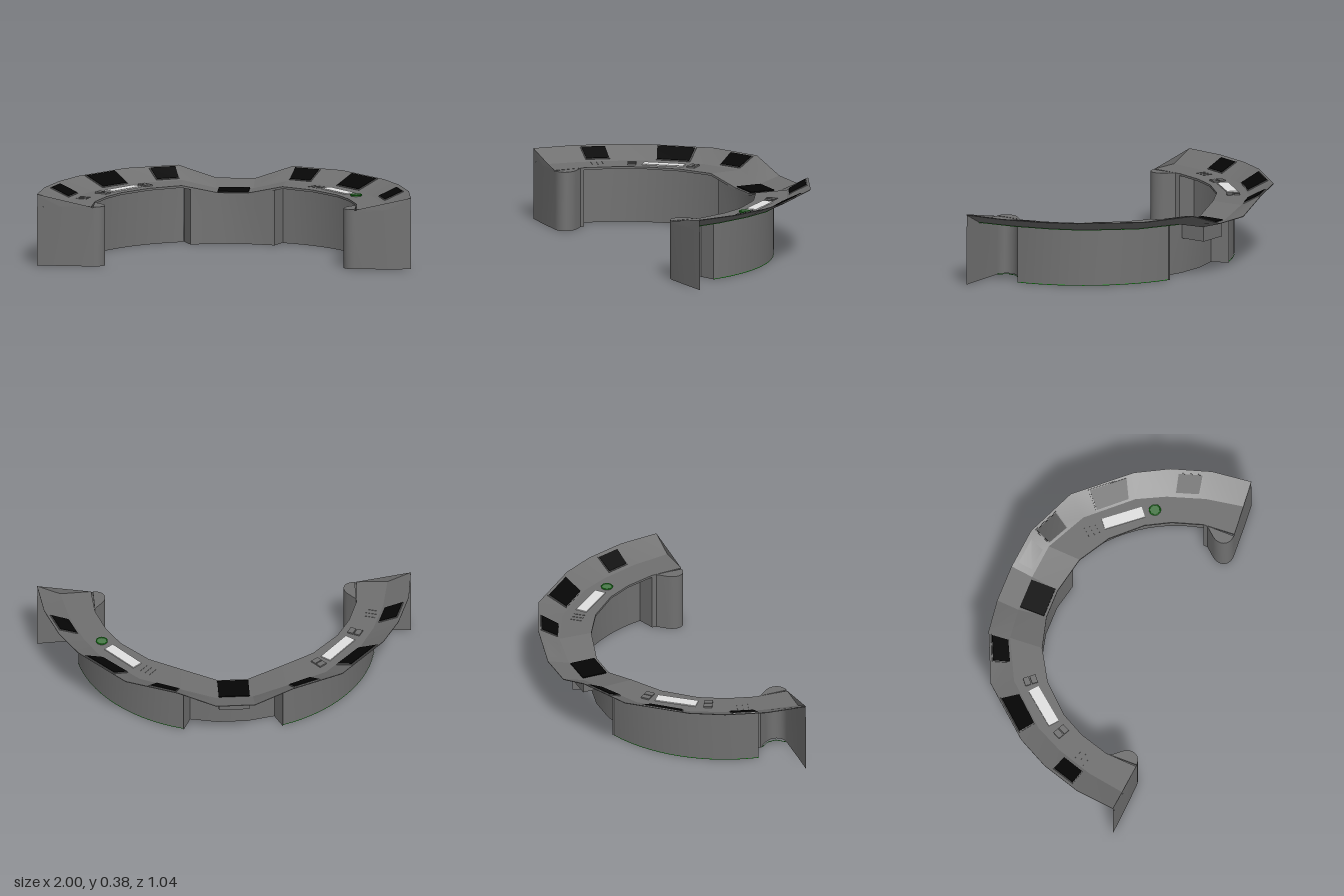
import * as THREE from 'three';
import { toCreasedNormals } from 'three/addons/utils/BufferGeometryUtils.js';

const mat = (name, color) => {
  const m = new THREE.MeshStandardMaterial({ color, side: THREE.DoubleSide });
  m.name = name;
  return m;
};

// Half plan of the desk, centre to end: inner edge, crease and outer edge as [x, z],
// then the drop in height of the flat part and of the outer edge
const STATIONS = [
  [[0.08, -0.25], [0.1, -0.405], [0.104, -0.525], 0.045, 0.073],
  [[0.27, -0.2], [0.28, -0.38], [0.307, -0.493], 0, 0],
  [[0.44, -0.1], [0.5, -0.27], [0.58, -0.373], 0, 0],
  [[0.58, 0.05], [0.7, -0.05], [0.817, -0.103], 0, 0],
  [[0.65, 0.18], [0.775, 0.1], [0.908, 0.067], 0, 0],
  [[0.7, 0.34], [0.84, 0.3], [0.976, 0.28], 0, 0],
  [[0.71, 0.515], [0.875, 0.506], [1, 0.497], 0, 0],
];
const TOP = 0.322, RISE = 0.063, THICK = 0.004, LIP = 0.012;

// Three surface points of a station on side s
const surface = (st, s) => [0, 1, 2].map((k) =>
  new THREE.Vector3(s * st[k][0], TOP + (k === 2 ? RISE - st[4] : -st[3]), st[k][1]));

// Closed skin through equal rings of points, with end caps
function loft(rings, creaseAngle) {
  const pos = [], idx = [], n = rings[0].length;
  rings.forEach((r) => r.forEach((p) => pos.push(p.x, p.y, p.z)));
  for (let i = 0; i < rings.length - 1; i++) {
    for (let j = 0; j < n; j++) {
      const a = i * n + j, b = i * n + ((j + 1) % n);
      idx.push(a, b, a + n, b, b + n, a + n);
    }
  }
  const last = (rings.length - 1) * n;
  for (let j = 1; j < n - 1; j++) idx.push(0, j + 1, j, last, last + j, last + j + 1);
  const g = new THREE.BufferGeometry();
  g.setAttribute('position', new THREE.Float32BufferAttribute(pos, 3));
  g.setIndex(idx);
  return toCreasedNormals(g, creaseAngle);
}

// Upright sheet along points [x, z, top]
function ribbon(points, y0 = 0) {
  const pos = [], idx = [];
  points.forEach(([x, z, top], i) => {
    pos.push(x, y0, z, x, top, z);
    const a = 2 * i;
    if (i < points.length - 1) idx.push(a, a + 2, a + 1, a + 1, a + 2, a + 3);
  });
  const g = new THREE.BufferGeometry();
  g.setAttribute('position', new THREE.Float32BufferAttribute(pos, 3));
  g.setIndex(idx);
  return toCreasedNormals(g, 0.5);
}

export function createModel() {
  const model = new THREE.Group();
  model.name = 'curvedConsole';
  const grey = mat('consoleGrey', 0x707070);
  const black = mat('screenBlack', 0x050505);
  const light = mat('keyboardGrey', 0xe0e0e0);
  const green = mat('accentGreen', 0x129a12);
  const dialGreen = mat('dialGreen', 0x4a7a4a);
  const add = (name, geo, material) => {
    const m = new THREE.Mesh(geo, material);
    m.name = name;
    model.add(m);
    return m;
  };

  // Thin worktop with its raised outer band and a small inner lip
  const rings = [
    ...STATIONS.slice().reverse().map((st) => surface(st, -1)),
    ...STATIONS.map((st) => surface(st, 1)),
  ].map((top) => {
    const under = top.map((p, k) => p.clone().setY(p.y - (k === 0 ? LIP : THICK))).reverse();
    return [...top, ...under];
  });
  add('worktop', loft(rings, 0.2), grey);

  // Plate lying on the raised band of segment i
  function bandPlate(name, i, s, u0, u1, v0, v1, h, material) {
    const [, a0, a1] = surface(STATIONS[i], s), [, b0, b1] = surface(STATIONS[i + 1], s);
    const at = (u, v) => a0.clone().lerp(b0, u).lerp(a1.clone().lerp(b1, u), v);
    const c = [at(u0, v0), at(u1, v0), at(u1, v1), at(u0, v1)];
    const n = c[1].clone().sub(c[0]).cross(c[3].clone().sub(c[0])).normalize();
    if (n.y < 0) n.negate();
    const shift = (d) => c.map((p) => p.clone().addScaledVector(n, d));
    const order = s > 0 ? [shift(h), shift(-0.001)] : [shift(-0.001), shift(h)];
    add(name, loft(order, 0.1), material);
  }

  // Flat plate on the worktop
  function flatPlate(name, x, z, w, d, angle, h, material, y = TOP) {
    const m = add(name, new THREE.BoxGeometry(w, h, d), material);
    m.position.set(x, y + h / 2, z);
    m.rotation.y = angle;
  }

  const R = 0.805, ZC = 0.46;
  const arc = (s, r, top) => Array.from({ length: 15 }, (_, i) => {
    const a = 0.336 + (1.385 - 0.336) * i / 14;
    return [s * r * Math.sin(a), ZC - r * Math.cos(a), top];
  });

  for (const s of [1, -1]) {
    const side = s > 0 ? 'left' : 'right';

    // Rounded nose at the inner end of the worktop
    const shape = new THREE.Shape();
    shape.moveTo(s * 0.7, -0.342);
    shape.lineTo(s * 0.698, -0.365);
    shape.lineTo(s * 0.655, -0.415);
    shape.bezierCurveTo(s * 0.62, -0.46, s * 0.64, -0.516, s * 0.7, -0.515);
    const nose = new THREE.ExtrudeGeometry(shape, { depth: LIP, bevelEnabled: false, curveSegments: 12 });
    nose.rotateX(-Math.PI / 2);
    nose.translate(0, TOP - LIP, 0);
    add(side + 'Nose', toCreasedNormals(nose, 0.5), grey);

    // Shell below: curved wall, return, rounded nose and front panel to the tip
    const nosePath = shape.getPoints(12).map((p) => [p.x, -p.y, TOP - THICK]);
    add(side + 'Wall', ribbon(arc(s, R, TOP - THICK)), grey);
    add(side + 'EndShell', ribbon([
      arc(s, R, TOP - THICK).at(-1), ...nosePath, [s * 0.875, 0.506, TOP - THICK], [s, 0.497, TOP - THICK],
    ]), grey);

    // Accent lines along the foot and under the crease
    add(side + 'FootLine', ribbon(arc(s, R + 0.002, 0.004)), green);
    add(side + 'EndFootLine', ribbon([[s * 0.7, 0.513, 0.004], [s * 0.66, 0.47, 0.004],
      [s * 0.664, 0.42, 0.004], [s * 0.705, 0.366, 0.004]]), green);
    add(side + 'CreaseLine', ribbon(STATIONS.slice(1).map((st) =>
      [s * st[1][0], st[1][1] - 0.001, TOP - THICK]), TOP - THICK - 0.003), green);

    // Gusset closing the raised band at the end
    const gusset = new THREE.Shape([[0.875, TOP - THICK], [1, TOP - THICK], [1, TOP + RISE], [0.875, TOP]]
      .map(([x, y]) => new THREE.Vector2(s * x, y)));
    const gussetGeo = new THREE.ShapeGeometry(gusset);
    gussetGeo.rotateY(s * 0.072);
    gussetGeo.translate(0, 0, 0.569);
    add(side + 'EndGusset', gussetGeo, grey);

    // Screens set into the raised band, each on a thin frame
    for (const [i, u0, u1, v0, v1] of [
      [1, 0.05, 0.58, 0.1, 0.9], [2, 0.26, 0.89, 0.07, 0.93], [4, 0.2, 0.82, 0.13, 0.87],
    ]) {
      bandPlate(side + 'ScreenFrame', i, s, u0, u1, v0, v1, 0.004, grey);
      bandPlate(side + 'Screen', i, s, u0 + 0.02, u1 - 0.02, v0 + 0.03, v1 - 0.03, 0.007, black);
    }

    // Keyboard
    flatPlate(side + 'Keyboard', s * 0.575, -0.07, 0.225, 0.06, -0.88 * s, 0.006, light);
  }

  // Projecting centre wall with returns
  add('centreWall', ribbon([
    [-0.265, -0.31, 0.312], [-0.225, -0.22, 0.298], [-0.08, -0.253, 0.268],
    [0.08, -0.253, 0.268], [0.225, -0.22, 0.298], [0.265, -0.31, 0.312],
  ]), grey);

  // Centre screen and the box below it
  flatPlate('centreScreen', 0, -0.333, 0.166, 0.138, 0, 0.006, black, TOP - 0.045);
  flatPlate('centreBox', 0, -0.327, 0.165, 0.146, 0, 0.082, grey, 0.19);

  // Small paired controls beside the right keyboard
  for (const [x, z, a] of [[-0.675, 0.07, 1.1], [-0.465, -0.19, 0.7]]) {
    for (const k of [-1, 1]) {
      flatPlate('control', x + k * 0.019 * Math.sin(a), z + k * 0.019 * Math.cos(a),
        0.046, 0.032, a, 0.008, grey);
    }
  }

  // Fine ribs on the worktop
  for (const [x, z, a] of [[-0.77, 0.23, 1.25], [0.45, -0.2, -0.7]]) {
    for (const k of [-1, 0, 1]) {
      flatPlate('rib', x + k * 0.03 * Math.cos(a), z - k * 0.03 * Math.sin(a), 0.003, 0.06, a, 0.002, grey);
    }
  }

  // Round dial on the left worktop
  const dial = add('dial', new THREE.CylinderGeometry(0.03, 0.03, 0.006, 24), dialGreen);
  dial.position.set(0.68, TOP + 0.003, 0.07);
  const ring = add('dialRing', new THREE.TorusGeometry(0.029, 0.003, 6, 24), green);
  ring.rotation.x = Math.PI / 2;
  ring.position.set(0.68, TOP + 0.006, 0.07);
  return model;
}
